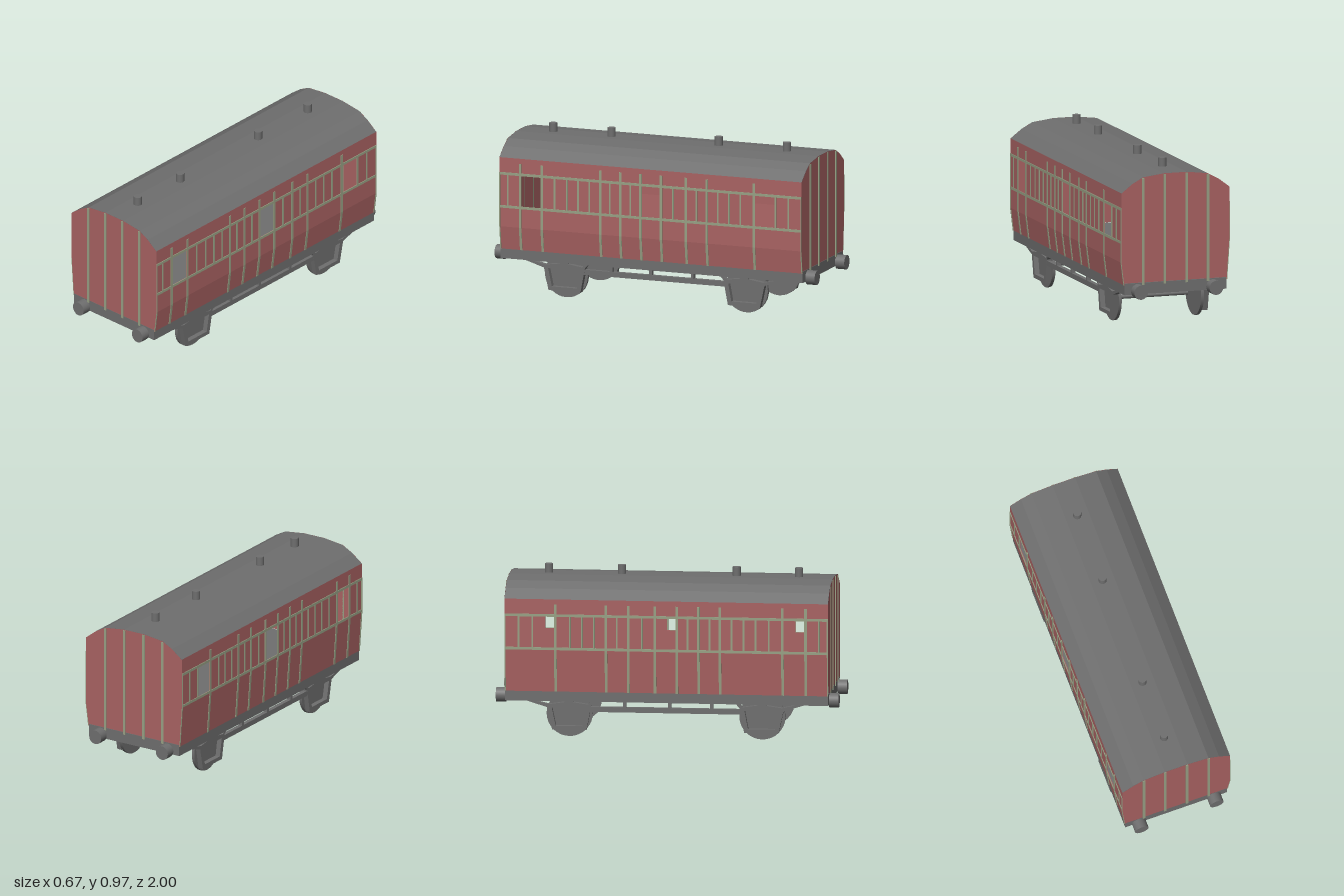
import * as THREE from 'three';

const material = (name, color, side = THREE.FrontSide) => {
  const m = new THREE.MeshStandardMaterial({ color, side });
  m.name = name;
  return m;
};

export function createModel() {
  const red = material('carriage red', 0xa86262, THREE.DoubleSide);
  const grey = material('iron grey', 0x6e6e6e, THREE.DoubleSide);
  const sage = material('sage trim', 0x97a084);

  const model = new THREE.Group();
  model.name = 'railwayCarriage';
  const group = (name) => {
    const g = new THREE.Group();
    g.name = name;
    model.add(g);
    return g;
  };
  const add = (parent, name, geometry, mat, x = 0, y = 0, z = 0) => {
    const mesh = new THREE.Mesh(geometry, mat);
    mesh.name = name;
    mesh.position.set(x, y, z);
    parent.add(mesh);
    return mesh;
  };
  const polygon = (pts) => new THREE.Shape(pts.map(([x, y]) => new THREE.Vector2(x, y)));
  const extrude = (shape, depth) =>
    new THREE.ExtrudeGeometry(shape, { depth, bevelEnabled: false });

  const front = 0.945, back = -0.942, length = front - back, mid = (front + back) / 2;

  // Half cross-section of each side: tumblehome below, upright above
  const sides = {
    1: [[0.316, 0.27], [0.333, 0.405], [0.333, 0.815]],
    [-1]: [[0.316, 0.27], [0.333, 0.515], [0.333, 0.815]],
  };
  const roofHalf = [[0.333, 0.815], [0.265, 0.867], [0.2, 0.902], [0.07, 0.918]];
  const mirror = (pts) => pts.map(([x, y]) => [-x, y]);

  const halfWidth = (side, y) => {
    const [a, b] = sides[side];
    return y >= b[1] ? b[0] : a[0] + ((b[0] - a[0]) * (y - a[1])) / (b[1] - a[1]);
  };

  // A length of side wall or trim that follows the cross-section
  const sidePiece = (side, y0, y1, z0, z1, inner, outer) => {
    const bend = sides[side][1][1];
    const ys = [y0, ...(bend > y0 && bend < y1 ? [bend] : []), y1];
    const edge = (off) => ys.map((y) => [side * (halfWidth(side, y) + off), y]);
    const geometry = extrude(polygon([...edge(outer), ...edge(inner).reverse()]), z1 - z0);
    return geometry.translate(0, 0, z0);
  };

  // Side walls with three open windows, and their raised trim
  const windows = [[-0.775, -0.65], [-0.065, 0.06], [0.685, 0.808]];
  const sill = 0.53, head = 0.713;
  const tallStrips = [0.815, 0.68, 0.315, 0.19, 0.063, -0.065, -0.22, -0.35, -0.645];
  const shortStrips = [0.893, 0.6, 0.523, 0.453, 0.383, 0.255, 0.127, -0.14, -0.287,
    -0.42, -0.49, -0.56, -0.78, -0.86];
  for (const side of [1, -1]) {
    const label = side > 0 ? 'left' : 'right';
    const wall = group(label + 'Wall');
    const trim = group(label + 'Trim');
    const panel = (name, y0, y1, z0, z1) =>
      add(wall, name, sidePiece(side, y0, y1, z0, z1, -0.004, 0), red);
    const strip = (name, y0, y1, z0, z1) =>
      add(trim, name, sidePiece(side, y0, y1, z0, z1, 0, 0.004), sage);

    panel('lowerPanel', 0.27, sill, back, front);
    panel('upperPanel', head, 0.815, back, front);
    const edges = [back, ...windows.flat(), front];
    for (let i = 0; i < edges.length; i += 2) panel('windowPillar', sill, head, edges[i], edges[i + 1]);

    for (const y of [0.517, 0.713]) strip('waistRail', y, y + 0.015, back, front);
    for (const z of tallStrips) strip('tallStrip', 0.27, 0.785, z - 0.0075, z + 0.0075);
    for (const z of shortStrips) strip('shortStrip', 0.532, 0.713, z - 0.005, z + 0.005);
    strip('cornerStrip', 0.27, 0.725, front - 0.006, front);
    strip('cornerStrip', 0.27, 0.725, back, back + 0.006);
  }

  // End walls with four upright strips
  const outline = [...sides[1].slice(0, 2), ...roofHalf,
    ...mirror(roofHalf).reverse(), ...mirror(sides[-1].slice(0, 2)).reverse()];
  for (const [label, z, dir] of [['front', front, 1], ['back', back, -1]]) {
    const end = group(label + 'End');
    const upright = polygon(outline.map(([x, y]) => [x, Math.max(y, 0.282)]));
    const wall = new THREE.ShapeGeometry(upright);
    if (dir < 0) wall.rotateY(Math.PI).scale(-1, 1, 1);
    add(end, 'endWall', wall, red, 0, 0, z + dir * 0.001);
    for (const [x, top] of [[-0.2, 0.897], [-0.068, 0.914], [0.066, 0.914], [0.2, 0.897]]) {
      add(end, 'endStrip', new THREE.BoxGeometry(0.015, top - 0.267, 0.004), sage,
        x, (top + 0.267) / 2, z + dir * 0.003);
    }
  }

  // Roof shell and ventilators
  const roof = group('roof');
  const over = [...roofHalf, ...mirror(roofHalf).reverse()];
  const under = over.map(([x, y]) => [x * 0.985, y - 0.006]).reverse();
  add(roof, 'roofShell', extrude(polygon([...over, ...under]), length), grey, 0, 0, back);
  for (const z of [0.742, 0.378, -0.292, -0.718]) {
    add(roof, 'ventilator', new THREE.CylinderGeometry(0.024, 0.024, 0.06, 20), grey, 0, 0.94, z);
  }

  // Underframe with floor
  const frame = group('underframe');
  add(frame, 'floorFrame', new THREE.BoxGeometry(0.63, 0.067, length), grey, 0, 0.2465, mid);

  // Buffers
  for (const x of [-0.232, 0.232]) {
    for (const [z0, z1] of [[front, 1], [-1, back]]) {
      const geometry = new THREE.CylinderGeometry(0.042, 0.042, z1 - z0, 24).rotateX(Math.PI / 2);
      add(frame, 'buffer', geometry, grey, x, 0.233, (z0 + z1) / 2);
    }
  }

  // Side-on plate: points are (z, y), thickness runs along x
  const plate = (shape, x0, x1) =>
    extrude(shape, x1 - x0).rotateY(-Math.PI / 2).translate(x1, 0, 0);

  // Wheels, axles, axle guards and springs
  const gear = group('runningGear');
  for (const [z, dir] of [[0.555, 1], [-0.57, -1]]) {
    add(gear, 'axle', new THREE.CylinderGeometry(0.0135, 0.0135, 0.417, 16).rotateZ(Math.PI / 2),
      grey, 0, 0.134, z);
    for (const side of [1, -1]) {
      add(gear, 'wheel', new THREE.CylinderGeometry(0.134, 0.134, 0.018, 32).rotateZ(Math.PI / 2),
        grey, side * 0.2535, 0.134, z);
      const place = (name, pts, hole, x0 = 0.268, x1 = 0.298) => {
        const flip = ([a, y]) => [z + dir * a, y];
        const shape = polygon(pts.map(flip));
        if (hole) shape.holes.push(polygon(hole.map(flip)));
        const [a, b] = side > 0 ? [x0, x1] : [-x1, -x0];
        add(gear, name, plate(shape, a, b), grey);
      };
      place('axleGuard',
        [[-0.13, 0.19], [-0.102, 0.042], [0.098, 0.042], [0.13, 0.19]],
        [[-0.1, 0.172], [-0.08, 0.065], [0.077, 0.065], [0.1, 0.172]]);
      place('axleBox', [[-0.025, 0.172], [-0.025, 0.216], [0.025, 0.216], [0.025, 0.172]]);
      place('outerBrace', [[0.12, 0.172], [0.265, 0.216], [0.225, 0.216], [0.11, 0.19]]);
      place('innerBrace', [[-0.115, 0.172], [-0.155, 0.216], [-0.137, 0.216], [-0.1, 0.182]]);
      place('springLeaf', [[-0.13, 0.19], [-0.025, 0.205], [0.025, 0.205], [0.13, 0.19],
        [0.025, 0.19], [-0.025, 0.19]]);
    }
  }

  // Truss beams between the axle guards
  for (const side of [1, -1]) {
    const truss = group(side > 0 ? 'leftTruss' : 'rightTruss');
    add(truss, 'trussBeam', new THREE.BoxGeometry(0.025, 0.03, 0.885), grey, side * 0.284, 0.165, -0.008);
    for (const z of [0.262, 0.017, -0.245]) {
      add(truss, 'trussPost', new THREE.BoxGeometry(0.025, 0.04, 0.018), grey, side * 0.284, 0.197, z);
    }
  }

  return model;
}
